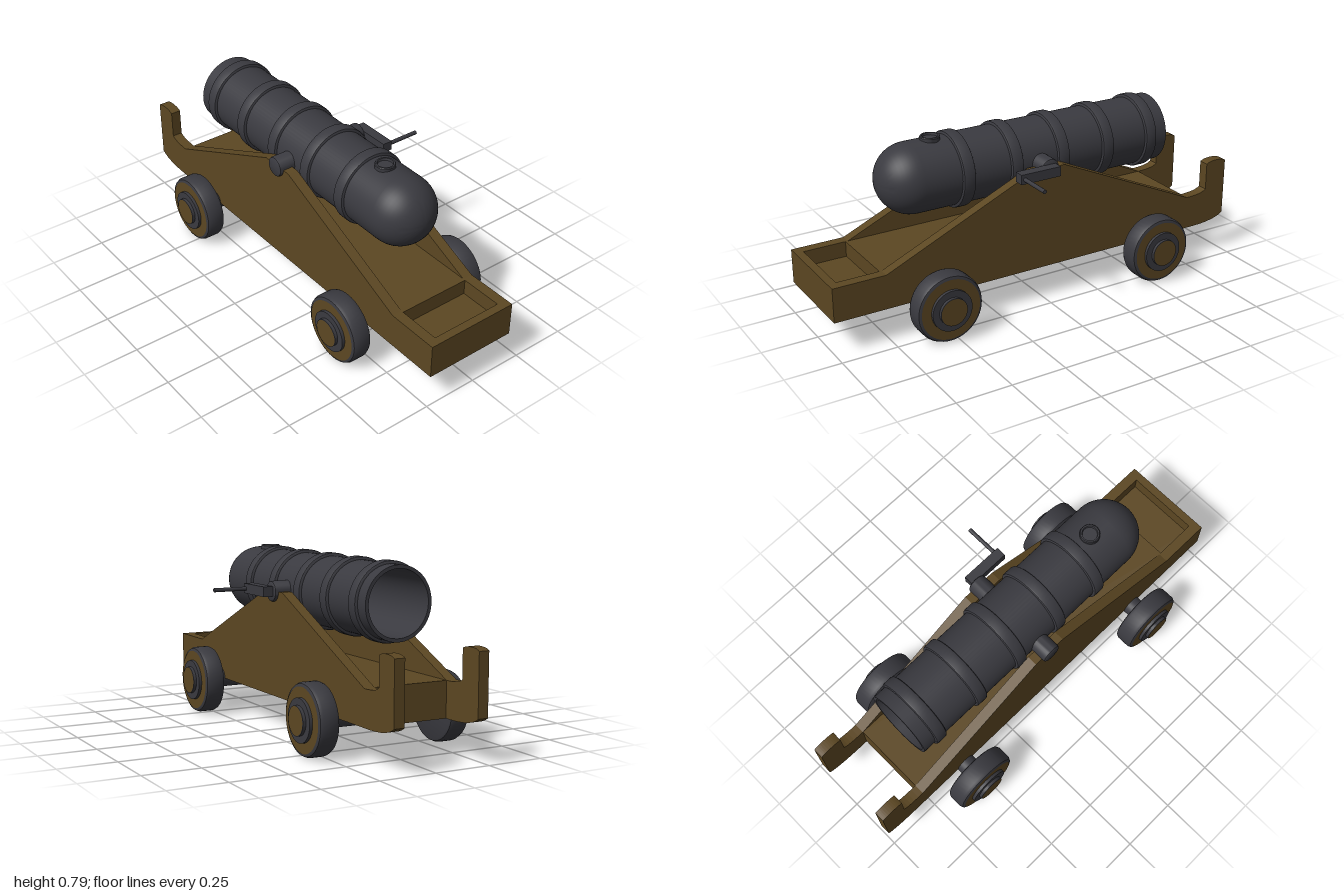
import * as THREE from 'three';
import { toCreasedNormals, mergeVertices } from 'three/addons/utils/BufferGeometryUtils.js';

const CX = -0.024, AXIS_Y = 0.617, WHEEL_Y = 0.154;

export function createModel() {
  const model = new THREE.Group();
  model.name = 'cannon';
  const iron = new THREE.MeshStandardMaterial({ color: 0x3a3a40 });
  iron.name = 'dark iron';
  const wood = new THREE.MeshStandardMaterial({ color: 0x5c4722 });
  wood.name = 'brown wood';

  function add(parent, name, geometry, material, x = 0, y = 0, z = 0) {
    const mesh = new THREE.Mesh(geometry, material);
    mesh.name = name;
    mesh.position.set(x, y, z);
    parent.add(mesh);
    return mesh;
  }
  // Solid of revolution about y, with sharp corners kept
  function turned(points, sides = 48) {
    const g = new THREE.LatheGeometry(points.map(p => new THREE.Vector2(...p)), sides);
    return toCreasedNormals(g, 0.6);
  }
  function span(parent, name, x0, x1, y0, y1, z0, z1, material) {
    return add(parent, name, new THREE.BoxGeometry(x1 - x0, y1 - y0, z1 - z0), material,
      (x0 + x1) / 2, (y0 + y1) / 2, (z0 + z1) / 2);
  }

  // Barrel: open bore at the back, domed breech at the front
  const barrel = new THREE.Group();
  barrel.name = 'barrel';
  model.add(barrel);
  const profile = [[0, 0.5], [0.14, 0.5], [0.14, -0.69], [0.155, -0.69], [0.155, 0.535]];
  for (let i = 1; i <= 12; i++) {
    const a = (i / 12) * Math.PI / 2;
    profile.push([i === 12 ? 0 : 0.155 * Math.cos(a), 0.535 + 0.155 * Math.sin(a)]);
  }
  add(barrel, 'barrelTube', turned(profile, 64), iron, CX, AXIS_Y, 0).rotation.x = Math.PI / 2;

  // Reinforcing bands
  const bandGeometry = turned([[0.15, -0.029], [0.161, -0.029], [0.166, -0.026], [0.168, -0.02],
    [0.168, 0.02], [0.166, 0.026], [0.161, 0.029], [0.15, 0.029]], 64);
  for (let i = 0; i < 5; i++) {
    add(barrel, 'barrelBand', bandGeometry, iron, CX, AXIS_Y, 0.335 - i * 0.234).rotation.x = Math.PI / 2;
  }

  // Touch hole boss
  add(barrel, 'ventBoss', turned([[0.044, 0.74], [0.044, 0.782], [0.041, 0.786], [0.034, 0.786],
    [0.032, 0.776], [0, 0.776]], 32), iron, CX, 0, 0.435);

  // Trunnion with rounded ends
  add(barrel, 'trunnion', turned([[0, -0.231], [0.038, -0.231], [0.043, -0.228], [0.045, -0.222],
    [0.045, 0.222], [0.043, 0.228], [0.038, 0.231], [0, 0.231]], 32), iron, CX, AXIS_Y, -0.02)
    .rotation.z = -Math.PI / 2;

  // Crank arm and handle
  const crank = new THREE.Group();
  crank.name = 'crank';
  model.add(crank);
  span(crank, 'crankArm', 0.205, 0.251, 0.596, 0.64, -0.042, 0.153, iron);
  add(crank, 'crankHandle', new THREE.CylinderGeometry(0.009, 0.009, 0.165, 16), iron, 0.3225, AXIS_Y, 0.135)
    .rotation.z = Math.PI / 2;

  // Carriage side cheeks, drawn as (z, y)
  const carriage = new THREE.Group();
  carriage.name = 'carriage';
  model.add(carriage);
  const cheek = new THREE.Shape();
  cheek.moveTo(1, 0.155);
  cheek.lineTo(1, 0.31);
  cheek.lineTo(0.76, 0.31);
  cheek.lineTo(0.06, AXIS_Y);
  cheek.lineTo(-0.1, AXIS_Y);
  cheek.lineTo(-0.785, 0.31);
  cheek.quadraticCurveTo(-0.87, 0.31, -0.892, 0.33);
  cheek.lineTo(-0.892, 0.455);
  cheek.quadraticCurveTo(-0.91, 0.466, -0.945, 0.466);
  cheek.quadraticCurveTo(-0.985, 0.466, -1, 0.455);
  cheek.lineTo(-1, 0.19);
  cheek.quadraticCurveTo(-0.96, 0.157, -0.83, 0.155);
  const cheekGeometry = new THREE.ExtrudeGeometry(cheek, { depth: 0.047, bevelEnabled: false, curveSegments: 6 });
  cheekGeometry.rotateY(-Math.PI / 2);
  add(carriage, 'leftCheek', cheekGeometry, wood, 0.191, 0, 0);
  add(carriage, 'rightCheek', cheekGeometry, wood, -0.192, 0, 0);

  // Bed with a shallow tray at the front end
  span(carriage, 'bedFloor', -0.193, 0.145, 0.155, 0.24, -0.785, 1, wood);
  span(carriage, 'bedTop', -0.193, 0.145, 0.24, 0.31, -0.785, 0.77, wood);
  span(carriage, 'trayRim', -0.193, 0.145, 0.24, 0.31, 0.963, 1, wood);

  // Axles and wheels
  const wheelGeometry = turned([[0, 0.263], [0.138, 0.263], [0.147, 0.267], [0.153, 0.28],
    [0.153, 0.337], [0.147, 0.35], [0.136, 0.354], [0.092, 0.354],
    [0.092, 0.369], [0.062, 0.369], [0.062, 0.383], [0, 0.383]], 48);
  const faceGeometry = new THREE.RingGeometry(0.092, 0.136, 48).rotateX(-Math.PI / 2);
  const capGeometry = new THREE.CircleGeometry(0.06, 40).rotateX(-Math.PI / 2);
  const axleGeometry = new THREE.CylinderGeometry(0.045, 0.045, 0.54, 32);
  for (const [end, z] of [['front', 0.54], ['rear', -0.537]]) {
    add(model, end + 'Axle', axleGeometry, iron, CX, WHEEL_Y + 0.001, z).rotation.z = Math.PI / 2;
    for (const side of [1, -1]) {
      const wheel = new THREE.Group();
      wheel.name = end + (side > 0 ? 'Left' : 'Right') + 'Wheel';
      wheel.position.set(CX, WHEEL_Y, z);
      wheel.rotation.z = -side * Math.PI / 2;
      add(wheel, 'tyreAndHub', wheelGeometry, iron);
      add(wheel, 'wheelFace', faceGeometry, wood, 0, 0.3555, 0);
      add(wheel, 'hubCap', capGeometry, wood, 0, 0.3845, 0);
      model.add(wheel);
    }
  }
  return model;
}
